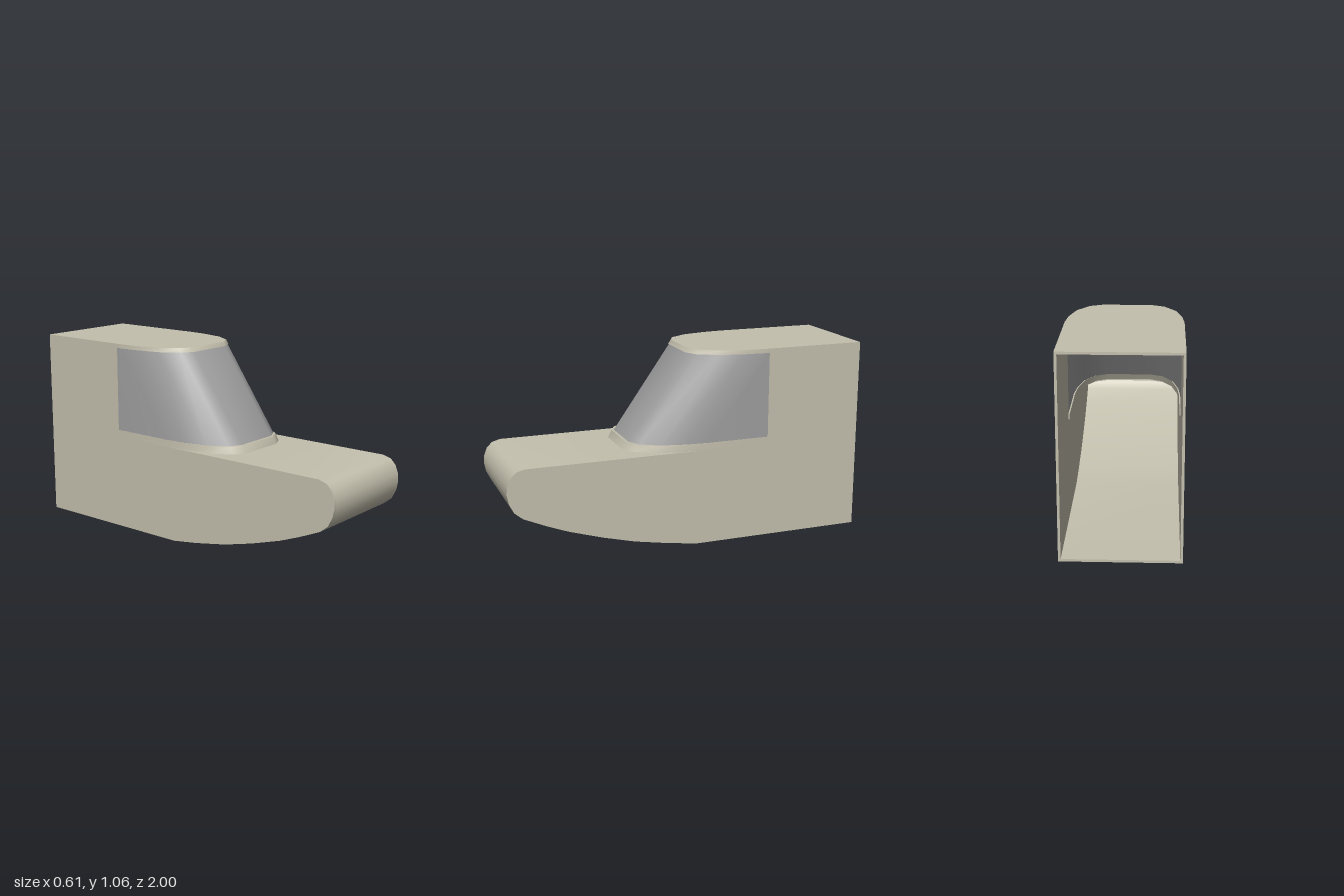
import * as THREE from 'three';
import { toCreasedNormals } from 'three/addons/utils/BufferGeometryUtils.js';

const W = 0.303;        // half width
const T = 0.013;        // wall thickness
const BACK = -1;
const WINDOW_BACK = -0.45;
const DECK = 0.528, SILL = 0.567, HEAD = 1.033, TOP = 1.056;

// Plan curve of the cabin front: [x, distance behind its foremost line]
const HALF_PLAN = [[0.13, 0], [0.2, 0.035], [0.262, 0.135], [0.293, 0.27], [W, 0.388]];

// U-shaped outline running from the right side, round the front, to the left side
function outline(frontZ, inset = 0) {
  const k = (W - inset) / W;
  const left = HALF_PLAN.map(([x, d]) => [x * k, frontZ - inset - d]);
  const right = left.map(([x, z]) => [-x, z]).reverse();
  return [...right, ...left];
}

// Closed wall section swept round the U; levels are [y, frontZ, inset]
function uBand(levels) {
  const rings = levels.map(([y, frontZ, inset]) => {
    const pts = outline(frontZ, inset);
    const x = pts[pts.length - 1][0];
    return [[-x, WINDOW_BACK], ...pts, [x, WINDOW_BACK]].map(([px, z]) => [px, y, z]);
  });
  const pos = [];
  rings.forEach((lower, j) => {
    const upper = rings[(j + 1) % rings.length];
    for (let i = 0; i < lower.length - 1; i++) {
      pos.push(...lower[i], ...lower[i + 1], ...upper[i + 1]);
      pos.push(...lower[i], ...upper[i + 1], ...upper[i]);
    }
  });
  const g = new THREE.BufferGeometry();
  g.setAttribute('position', new THREE.Float32BufferAttribute(pos, 3));
  return toCreasedNormals(g, 0.7);
}

const shapeOf = (pts) => new THREE.Shape(pts.map(([a, b]) => new THREE.Vector2(a, b)));

// Side outline given as (z, y), extruded across x from x0 to x1
function acrossX(pts, x0, x1) {
  const g = new THREE.ExtrudeGeometry(shapeOf(pts), { depth: x1 - x0, bevelEnabled: false });
  g.rotateY(-Math.PI / 2).translate(x1, 0, 0);
  return toCreasedNormals(g, 0.6);
}

// Plan outline given as (x, z), extruded down from the height y
function slab(pts, y) {
  const g = new THREE.ExtrudeGeometry(shapeOf(pts), { depth: T, bevelEnabled: false });
  return g.rotateX(Math.PI / 2).translate(0, y, 0);
}

// Moves an open profile inwards (to its left) by the wall thickness
function offset(pts) {
  return pts.map(([z, y], i) => {
    const a = pts[Math.max(i - 1, 0)], b = pts[Math.min(i + 1, pts.length - 1)];
    const l = Math.hypot(b[0] - a[0], b[1] - a[1]);
    return [z - (b[1] - a[1]) / l * T, y + (b[0] - a[0]) / l * T];
  });
}

export function createModel() {
  const shell = new THREE.MeshStandardMaterial({ color: 0xc3bfad });
  shell.name = 'beige shell';
  const glass = new THREE.MeshStandardMaterial({ color: 0x9e9e9e, side: THREE.DoubleSide });
  glass.name = 'grey glass';

  const model = new THREE.Group();
  model.name = 'cabShell';
  const add = (name, geometry, material) => {
    const mesh = new THREE.Mesh(geometry, material);
    mesh.name = name;
    model.add(mesh);
  };

  // Floor, curved belly, rounded nose and front deck as one skin
  const deckFront = 0.4;
  const belly = [
    [BACK, 0], [-0.04, 0], [0.12, 0.023], [0.32, 0.06], [0.5, 0.107], [0.68, 0.163],
    [0.8, 0.21], [0.92, 0.263], [0.965, 0.3], [0.99, 0.35], [1, 0.4], [0.997, 0.44],
    [0.98, 0.485], [0.95, 0.515], [0.905, DECK], [deckFront, DECK],
  ];
  add('hullSkin', acrossX([...belly, ...offset(belly).reverse()], -W + T, W - T), shell);

  // Side walls, cut away for the wraparound window
  const side = [...belly, [WINDOW_BACK, DECK], [WINDOW_BACK, TOP], [BACK, TOP]];
  add('leftWall', acrossX(side, W - T, W), shell);
  add('rightWall', acrossX(side, -W, -W + T), shell);

  // Deck corners in front of the cabin opening
  add('deck', slab([...outline(0.33), [W, deckFront], [-W, deckFront]], DECK), shell);

  // Sill, wraparound window and roof edge
  add('windowSill', uBand([
    [DECK, 0.33, 0], [SILL, 0.308, 0], [SILL, 0.308, 0.018], [DECK, 0.33, 0.018],
  ]), shell);
  add('wraparoundWindow', uBand([
    [SILL - 0.002, 0.297, 0.001], [HEAD + 0.002, -0.036, 0.001],
    [HEAD + 0.002, -0.036, 0.011], [SILL - 0.002, 0.297, 0.011],
  ]), glass);
  add('roofEdge', uBand([
    [HEAD, -0.03, 0], [TOP, -0.045, 0], [TOP, -0.045, 0.014], [HEAD, -0.03, 0.016],
  ]), shell);

  // Roof with the same rounded front
  add('roof', slab([...outline(-0.045), [W, BACK], [-W, BACK]], TOP), shell);

  return model;
}
